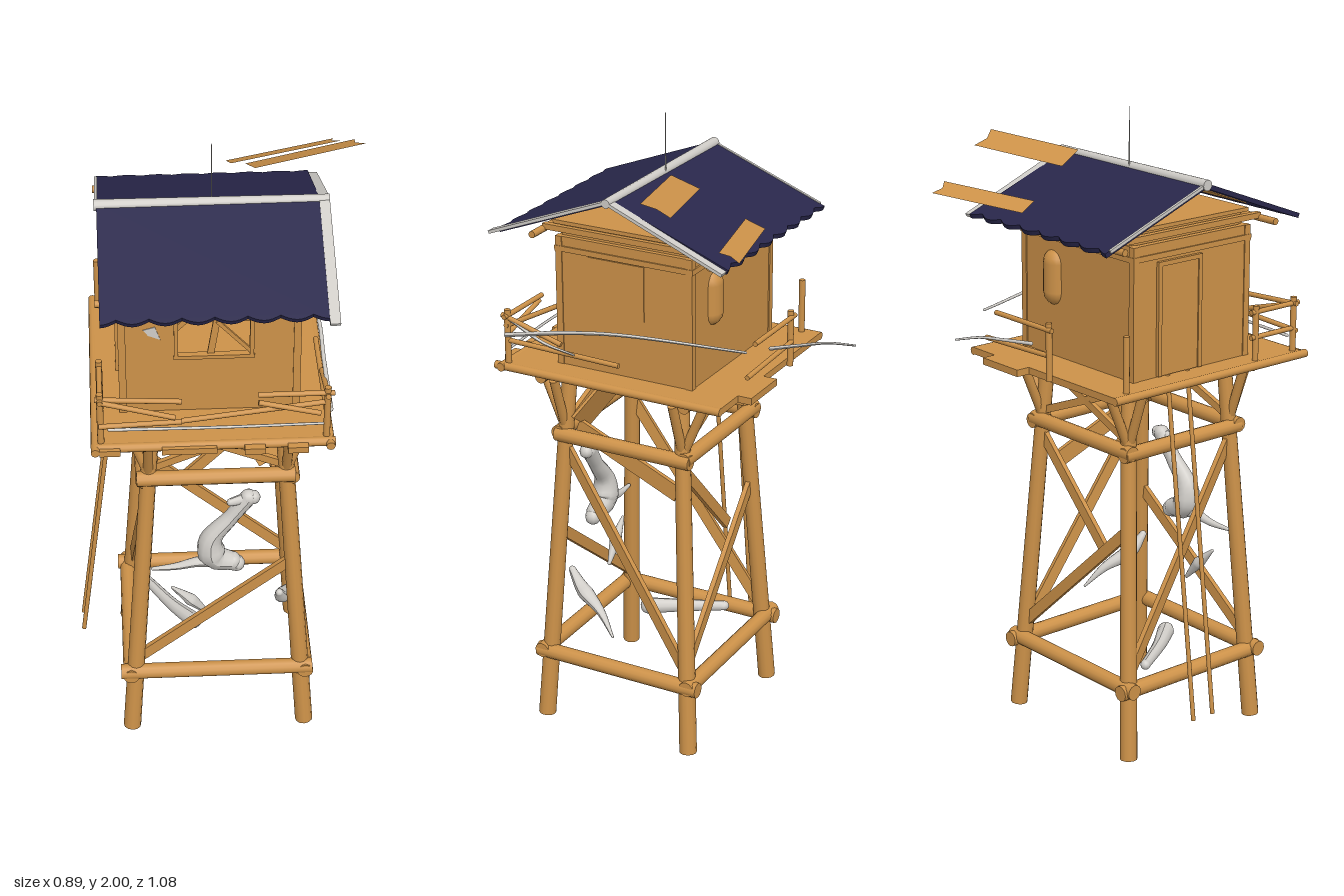
import * as THREE from 'three';

export function createModel() {
  const root = new THREE.Group();
  root.name = 'watchtower';
  const mat = (name, color, side = THREE.FrontSide) => {
    const m = new THREE.MeshStandardMaterial({ color, side });
    m.name = name;
    return m;
  };
  const wood = mat('wood', 0xcd9249, THREE.DoubleSide);
  const navy = mat('navy roofing', 0x29274b);
  const grey = mat('weathered grey', 0xd0cdc8);
  const V = (p) => new THREE.Vector3(...p);

  const add = (name, geo, material) => {
    const m = new THREE.Mesh(geo, material);
    m.name = name;
    root.add(m);
    return m;
  };
  const box = (name, x0, x1, y0, y1, z0, z1, material = wood) => {
    const m = add(name, new THREE.BoxGeometry(x1 - x0, y1 - y0, z1 - z0), material);
    m.position.set((x0 + x1) / 2, (y0 + y1) / 2, (z0 + z1) / 2);
    return m;
  };
  // Round pole between two points
  const pole = (name, a, b, r, r2 = r, material = wood) => {
    const p = V(a), q = V(b), d = q.clone().sub(p);
    const m = add(name, new THREE.CylinderGeometry(r2, r, d.length(), 12), material);
    m.position.copy(p).add(q).multiplyScalar(0.5);
    m.quaternion.setFromUnitVectors(new THREE.Vector3(0, 1, 0), d.normalize());
    return m;
  };
  // Flat board between two points; side gives the direction of its width
  const board = (name, a, b, side, w, t, material = wood) => {
    const p = V(a), q = V(b), d = q.clone().sub(p);
    const len = d.length();
    d.normalize();
    const n = d.clone().cross(V(side)).normalize();
    const s = n.clone().cross(d);
    const m = add(name, new THREE.BoxGeometry(len, w, t), material);
    m.quaternion.setFromRotationMatrix(new THREE.Matrix4().makeBasis(d, s, n));
    m.position.copy(p).add(q).multiplyScalar(0.5);
    return m;
  };
  // Driftwood along a smooth curve, with a list of radii from end to end
  const drift = (name, pts, radii) => {
    const curve = new THREE.CatmullRomCurve3(pts.map(V));
    const n = 20, k = 10, last = radii.length - 1;
    const g = new THREE.TubeGeometry(curve, n, 1, k, false);
    const pos = g.attributes.position;
    for (let i = 0; i <= n; i++) {
      const c = curve.getPointAt(i / n);
      const f = (i / n) * last, lo = Math.min(Math.floor(f), last - 1);
      const r = THREE.MathUtils.lerp(radii[lo], radii[lo + 1], f - lo);
      for (let j = 0; j <= k; j++) {
        const id = i * (k + 1) + j;
        const v = new THREE.Vector3().fromBufferAttribute(pos, id).sub(c).multiplyScalar(r).add(c);
        pos.setXYZ(id, v.x, v.y, v.z);
      }
    }
    g.computeVertexNormals();
    add(name, g, grey);
    for (const [p, r] of [[pts[0], radii[0]], [pts[pts.length - 1], radii[last]]])
      add(name + 'End', new THREE.SphereGeometry(r, 10, 8), grey).position.set(...p);
  };

  // Leaning legs: centre line at height y
  const leg = (sx, sz, y) => [-0.01 + sx * (0.278 - 0.07 * y), y, 0.145 + sz * (0.262 - 0.055 * y)];
  for (const sx of [-1, 1]) for (const sz of [-1, 1]) {
    pole('leg', leg(sx, sz, 0), leg(sx, sz, 1.2), 0.028, 0.024);
    // Struts flaring out to the platform
    const [x, , z] = leg(sx, sz, 1.0);
    pole('strut', [x, 1.0, z], [x + sx * 0.065, 1.19, z], 0.015);
    pole('strut', [x, 1.0, z], [x, 1.19, z + sz * 0.08], 0.015);
  }
  // Beam rings tying the legs
  for (const [y, ov, r] of [[0.235, 0.047, 0.025], [0.99, 0.035, 0.024]]) {
    const [x1, , z1] = leg(1, 1, y), [x0, , z0] = leg(-1, -1, y);
    for (const z of [z0 - 0.015, z1 + 0.015]) pole('tieBeam', [x0 - ov, y + 0.003, z], [x1 + ov - 0.01, y + 0.003, z], r);
    for (const x of [x0 - 0.015, x1 + 0.015]) pole('tieBeam', [x, y - 0.003, z0 - ov], [x, y - 0.003, z1 + ov - 0.01], r);
  }
  // Diagonal braces
  const brace = (a, ya, b, yb, w = 0.036) =>
    board('brace', leg(...a, ya), leg(...b, yb), a[0] === b[0] ? [0, 1, 0.3] : [0.3, 1, 0], w, 0.016);
  brace([-1, 1], 0.28, [1, 1], 0.66);
  brace([-1, -1], 0.74, [1, -1], 0.29);
  board('brokenBrace', [-0.1, 0.64, -0.06], leg(1, -1, 0.95), [0.3, 1, 0], 0.036, 0.016);
  brace([1, 1], 0.95, [1, -1], 0.27);
  brace([-1, 1], 0.95, [-1, -1], 0.27);
  board('loosePlank', [0.16, 1.0, 0.33], [0.17, 0.85, -0.03], [0, 1, 0.4], 0.055, 0.014);
  for (const s of [-1, 1]) {
    brace([-1, s], 1.02, [1, s], 1.18, 0.024);
    brace([1, s], 1.02, [-1, s], 1.18, 0.024);
    brace([s, -1], 1.17, [s, 1], 1.17, 0.022);
  }
  // Hatch hanging under the floor
  board('hatch', [0.07, 1.16, 0.23], [0.165, 1.02, 0.32], [1, 0.7, 0], 0.11, 0.01);

  // Platform on its bearers
  box('platform', -0.37, 0.31, 1.215, 1.237, -0.25, 0.51);
  for (const z of [-0.1, 0.4]) pole('bearer', [-0.28, 1.19, z], [0.265, 1.19, z], 0.02);
  for (const x of [-0.235, 0.215]) pole('bearer', [x, 1.19, -0.12], [x, 1.19, 0.44], 0.02);
  for (const [x, w, z] of [[-0.33, 0.06, 0.53], [-0.1, 0.16, 0.53], [0.09, 0.06, 0.54], [0.215, 0.06, 0.54]])
    box('plankEnd', x - w / 2, x + w / 2, 1.212, 1.232, 0.5, z);
  pole('edgeBeam', [-0.37, 1.225, 0.505], [0.325, 1.225, 0.505], 0.014);
  pole('edgeBeam', [-0.372, 1.225, -0.25], [-0.372, 1.225, 0.53], 0.013);
  pole('edgeBeam', [0.31, 1.225, -0.25], [0.31, 1.225, 0.53], 0.013);
  box('backPlank', 0.03, 0.2, 1.215, 1.237, -0.295, -0.24);

  // Railings, partly broken
  for (const [x, z] of [[-0.355, 0.49], [0.3, 0.49], [-0.355, 0.33], [-0.355, -0.19], [-0.1, -0.275]])
    pole('railPost', [x, 1.23, z], [x, 1.41, z], 0.01);
  const rails = [
    [[-0.37, 1.39, 0.49], [-0.12, 1.375, 0.49]], [[-0.35, 1.385, 0.5], [-0.14, 1.325, 0.5]],
    [[-0.12, 1.305, 0.49], [0.31, 1.36, 0.49]], [[0.1, 1.39, 0.49], [0.32, 1.39, 0.49]],
    [[0.1, 1.37, 0.5], [0.28, 1.325, 0.5]], [[-0.36, 1.3, 0.5], [-0.12, 1.31, 0.5]],
    [[-0.355, 1.39, 0.51], [-0.355, 1.39, 0.31]], [[-0.355, 1.31, 0.49], [-0.355, 1.31, 0.31]],
    [[0.3, 1.39, 0.51], [0.3, 1.33, 0.3]], [[0.3, 1.31, 0.49], [0.3, 1.3, 0.1]],
    [[-0.12, 1.39, -0.28], [0.15, 1.39, -0.28]], [[-0.1, 1.31, -0.28], [0.2, 1.3, -0.28]],
  ];
  for (const [a, b] of rails) pole('rail', a, b, 0.008);
  // Dead branches caught in the railings
  drift('branch', [[0.31, 1.33, 0.49], [0.305, 1.37, 0.3], [0.3, 1.4, 0.1], [0.21, 1.385, -0.28]], [0.007, 0.004]);
  drift('branch', [[0.3, 1.38, 0.48], [0.31, 1.33, 0.36], [0.31, 1.31, 0.25]], [0.007, 0.003]);
  drift('branch', [[0.005, 1.32, -0.26], [0.006, 1.35, -0.36], [0.006, 1.375, -0.45], [0.007, 1.385, -0.54]], [0.006, 0.003]);
  drift('branch', [[-0.33, 1.28, 0.49], [0, 1.285, 0.5], [0.3, 1.28, 0.49]], [0.005, 0.004]);

  // Cabin walls, with a real opening at the front
  const shapePts = (list) => list.map((p) => new THREE.Vector2(...p));
  const front = new THREE.Shape(shapePts([[-0.295, 1.23], [0.23, 1.23], [0.23, 1.65], [-0.295, 1.65]]));
  front.holes.push(new THREE.Path(shapePts([[-0.13, 1.43], [-0.13, 1.59], [0.09, 1.59], [0.09, 1.43]])));
  const fw = add('frontWall', new THREE.ExtrudeGeometry(front, { depth: 0.02, bevelEnabled: false }), wood);
  fw.position.z = 0.33;
  box('backWall', -0.295, 0.23, 1.23, 1.65, -0.11, -0.09);
  box('sideWall', -0.295, -0.275, 1.23, 1.65, -0.09, 0.33);
  box('sideWall', 0.21, 0.23, 1.23, 1.65, -0.09, 0.33);
  box('ceiling', -0.27, 0.215, 1.64, 1.69, -0.1, 0.34);
  box('topPlate', -0.275, 0.225, 1.685, 1.697, -0.13, 0.365);
  box('wallBand', -0.3, 0.235, 1.603, 1.62, -0.116, 0.356);
  for (const x of [-0.287, 0.222]) for (const z of [-0.103, 0.343])
    box('cornerPost', x - 0.011, x + 0.011, 1.23, 1.65, z - 0.011, z + 0.011);
  // Front window frame with splintered bars
  for (const y of [1.43, 1.59]) box('windowFrame', -0.138, 0.098, y - 0.006, y + 0.006, 0.335, 0.356);
  for (const x of [-0.13, 0.09]) box('windowFrame', x - 0.006, x + 0.006, 1.43, 1.59, 0.335, 0.356);
  board('splinter', [-0.03, 1.43, 0.34], [-0.01, 1.56, 0.34], [1, 0, 0], 0.02, 0.008);
  board('splinter', [-0.01, 1.55, 0.345], [0.09, 1.44, 0.345], [1, 1, 0], 0.012, 0.008);
  board('splinter', [-0.13, 1.52, 0.335], [-0.06, 1.59, 0.335], [1, -1, 0], 0.016, 0.008);
  // Torn grey scrap beside the window
  const scrap = new THREE.Shape(shapePts([[-0.225, 1.53], [-0.21, 1.51], [-0.175, 1.495], [-0.19, 1.54]]));
  add('tornPatch', new THREE.ExtrudeGeometry(scrap, { depth: 0.003, bevelEnabled: false }), grey).position.z = 0.349;
  // Shuttered side window
  box('shutter', 0.228, 0.233, 1.425, 1.6, 0.05, 0.24);
  // Door facing the ladder
  box('door', -0.302, -0.29, 1.24, 1.58, -0.01, 0.14);
  for (const z of [-0.015, 0.145]) box('doorFrame', -0.306, -0.29, 1.24, 1.59, z - 0.007, z + 0.007);
  box('doorFrame', -0.306, -0.29, 1.58, 1.594, -0.022, 0.152);
  // Barrel set into the back wall
  const tank = add('barrel', new THREE.CapsuleGeometry(0.046, 0.09, 4, 16), wood);
  tank.position.set(0.085, 1.485, -0.09);

  // Pitched roof with a scalloped eave, lined with boards over the cabin
  const slope = Math.atan2(0.15, 0.39), c = Math.cos(slope), s = Math.sin(slope), midX = -0.025;
  const outline = (scallop, half, end) => {
    const sh = new THREE.Shape();
    sh.moveTo(-half, 0);
    sh.lineTo(half, 0);
    const n = 56;
    for (let i = 0; i <= n; i++)
      sh.lineTo(half - (2 * half * i) / n, end - scallop * (1 - Math.abs(Math.cos((i / n) * Math.PI * 7))));
    return sh;
  };
  for (const [dir, len] of [[1, 0.416], [-1, 0.418]]) {
    const basis = new THREE.Matrix4().makeBasis(V([dir, 0, 0]), V([0, -s, dir * c]), V([0, -c, -dir * s]));
    const slab = (name, sh, depth, y, m) => {
      const mesh = add(name, new THREE.ExtrudeGeometry(sh, { depth, bevelEnabled: false }), m);
      mesh.quaternion.setFromRotationMatrix(basis);
      mesh.position.set(midX, y, 0.125);
    };
    slab('roofSheet', outline(0.016, 0.322, len), 0.015, 1.818, navy);
    slab('roofLining', outline(0, 0.25, 0.25), 0.004, 1.803, wood);
    // Barge boards on the gable edges
    board('bargeBoard', [0.31, 1.815, 0.125], [0.31, 1.815 - s * 0.435, 0.125 + dir * c * (dir > 0 ? 0.435 : 0.41)], [1, 0, 0], 0.03, 0.01, grey);
  }
  board('bargeBoard', [-0.348, 1.815, 0.125], [-0.348, 1.815 - s * 0.4, 0.125 - c * 0.4], [1, 0, 0], 0.009, 0.01, grey);
  pole('ridgeCap', [-0.355, 1.813, 0.123], [0.325, 1.813, 0.123], 0.017, 0.014, grey);
  for (const x of [-0.285, 0.22]) box('tieBar', x - 0.01, x + 0.01, 1.662, 1.68, -0.2, 0.4);
  for (const z of [-0.2, 0.4]) pole('wallPlate', [-0.36, 1.662, z], [0.29, 1.662, z], 0.011);
  pole('antenna', [-0.015, 1.81, 0.11], [-0.015, 2, 0.11], 0.002, 0.001, grey);

  // Notched boards torn loose above the roof: near middle, far middle, half width
  const notched = (near, far, half) => {
    const [a, b, w] = [V(near), V(far), V(half)];
    const mid = b.clone().lerp(a, 0.05);
    const pts = [a.clone().add(w), a.clone().sub(w), b.clone().sub(w), mid, b.clone().add(w)];
    const g = new THREE.BufferGeometry().setFromPoints(pts);
    g.setIndex([0, 3, 1, 1, 3, 2, 0, 4, 3]);
    g.computeVertexNormals();
    add('flyingBoard', g, wood);
  };
  notched([0.105, 1.84, -0.023], [0.435, 1.863, -0.105], [0.012, 0.018, 0.042]);
  notched([0.053, 1.728, -0.228], [0.388, 1.743, -0.315], [0.007, 0.013, 0.029]);

  // Ladder poles leaning on the doorway side
  for (const z of [0.02, 0.1]) pole('ladderPole', [-0.437, 0.145, z], [-0.3, 1.24, z], 0.007);

  // Driftwood caught in the frame
  drift('driftTrunk', [[0.035, 0.64, 0.35], [-0.02, 0.66, 0.35], [-0.03, 0.73, 0.35], [0.03, 0.81, 0.345], [0.085, 0.885, 0.34]], [0.03, 0.045, 0.03, 0.024, 0.026]);
  drift('driftLimb', [[0.1, 0.885, 0.34], [0.06, 0.88, 0.345], [0.03, 0.875, 0.35]], [0.022, 0.012]);
  drift('driftRoot', [[0.05, 0.63, 0.35], [-0.06, 0.645, 0.355], [-0.14, 0.632, 0.36], [-0.21, 0.63, 0.365]], [0.026, 0.006]);
  drift('driftShard', [[-0.04, 0.42, 0.345], [-0.09, 0.48, 0.35], [-0.15, 0.54, 0.355]], [0.006, 0.02, 0.005]);
  drift('driftShard', [[0.185, 0.5, 0.35], [0.195, 0.45, 0.31], [0.23, 0.4, 0.22], [0.26, 0.34, 0.16]], [0.012, 0.026, 0.014, 0.004]);
  drift('driftLog', [[-0.08, 0.275, 0.22], [-0.14, 0.268, 0.14], [-0.22, 0.262, 0.01]], [0.027, 0.02, 0.016]);
  return root;
}
